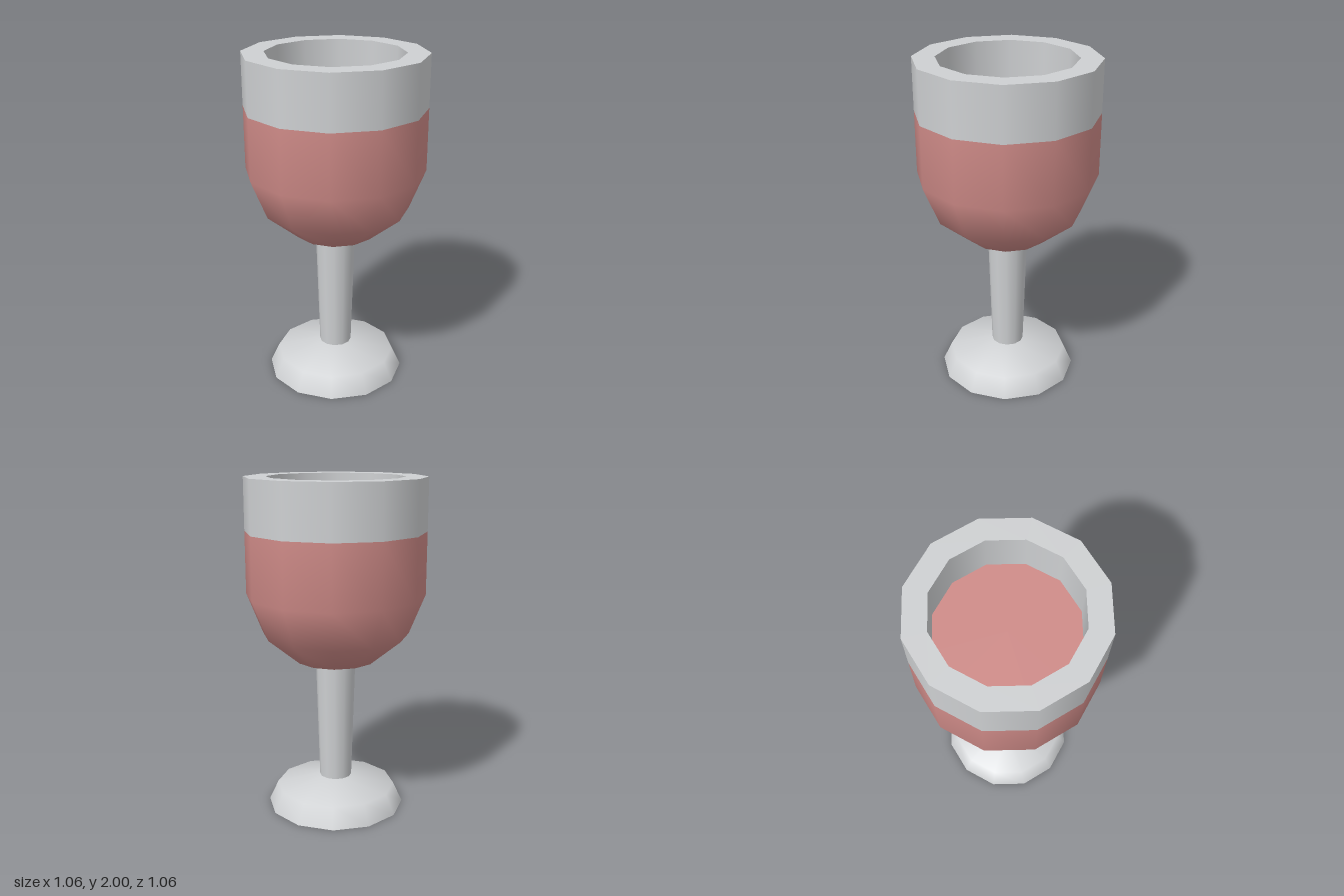
import * as THREE from 'three';

const SIDES = 12;

export function createModel() {
  const goblet = new THREE.Group();
  goblet.name = 'goblet';

  const glass = new THREE.MeshStandardMaterial({ color: 0xced0d2 });
  glass.name = 'pale grey glass';
  const wine = new THREE.MeshStandardMaterial({ color: 0xcf8b88 });
  wine.name = 'rose wine';

  // Each profile is turned separately, so edges between parts stay sharp
  function turn(name, material, profile) {
    const points = profile.map(([r, y]) => new THREE.Vector2(r, y));
    const mesh = new THREE.Mesh(new THREE.LatheGeometry(points, SIDES), material);
    mesh.name = name;
    goblet.add(mesh);
  }

  // Foot and stem
  turn('footUnderside', glass, [[0, 0], [0.415, 0]]);
  turn('foot', glass, [[0.415, 0], [0.36, 0.12], [0.095, 0.18]]);
  turn('stem', glass, [[0.097, 0.175], [0.119, 0.93]]);

  // Filled lower bowl
  turn('bowl', wine, [[0, 0.925], [0.24, 0.925], [0.435, 1.085], [0.53, 1.32], [0.53, 1.69]]);

  // Clear upper band, flat rim and inner wall
  turn('upperBand', glass, [[0.53, 1.69], [0.53, 2]]);
  turn('rim', glass, [[0.53, 2], [0.4, 2]]);
  turn('innerWall', glass, [[0.4, 2], [0.4, 1.75]]);

  // Drink surface
  turn('drinkSurface', wine, [[0.4, 1.75], [0, 1.75]]);

  return goblet;
}
